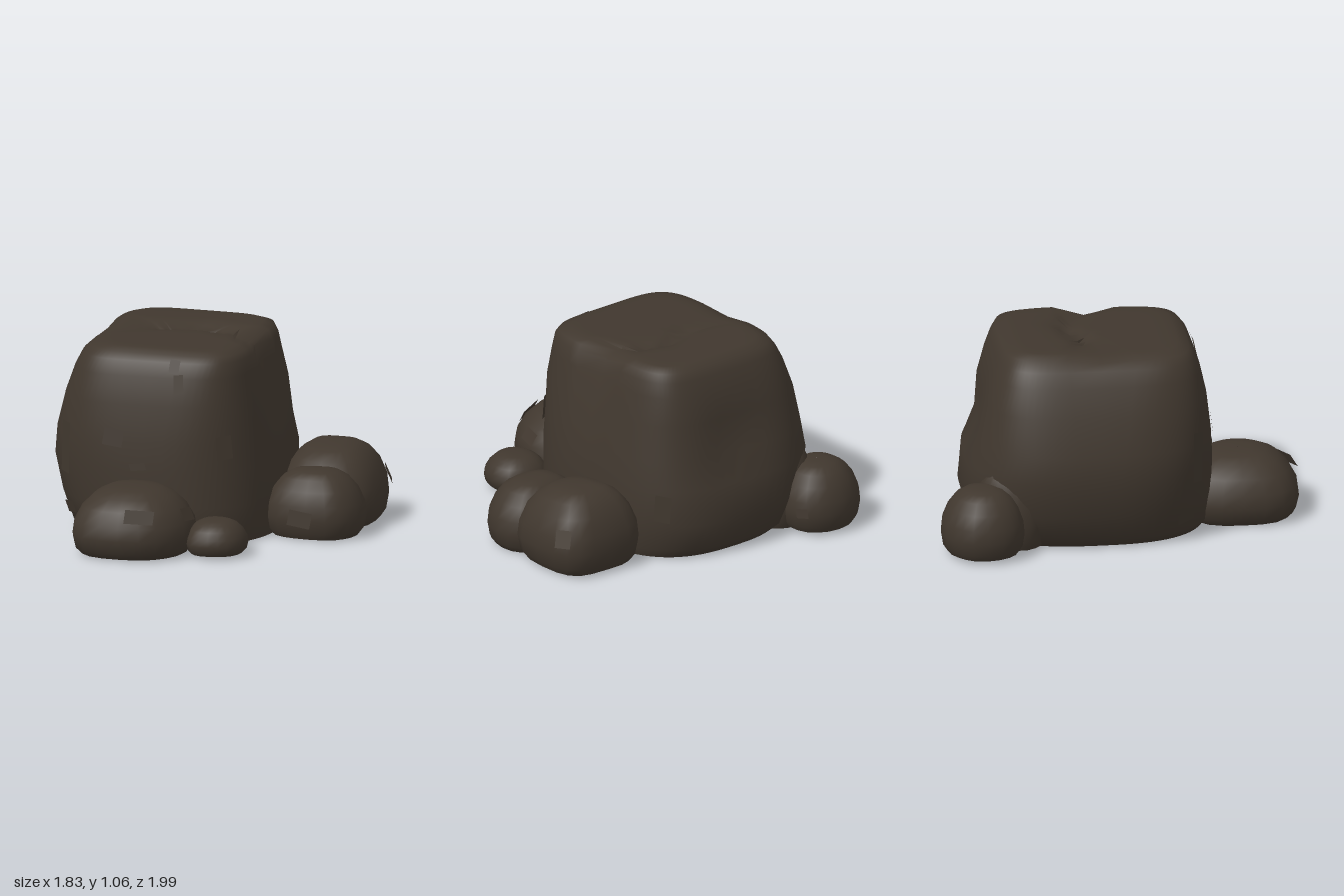
import * as THREE from 'three';
import { toCreasedNormals } from 'three/addons/utils/BufferGeometryUtils.js';

const stone = new THREE.MeshStandardMaterial({ color: 0x40372e });
stone.name = 'dark brown stone';
const stoneThin = new THREE.MeshStandardMaterial({ color: 0x40372e, side: THREE.DoubleSide });
stoneThin.name = 'dark brown stone flake';

const spow = (v, n) => Math.sign(v) * Math.pow(Math.abs(v), 2 / n);

// Loft of superellipse rings: [y, xMin, xMax, zMin, zMax, squareness], bottom to top
function loft(name, rings, segs, shape) {
  const pos = [], index = [];
  const p = new THREE.Vector3();
  rings.forEach(([y, x0, x1, z0, z1, n]) => {
    for (let j = 0; j < segs; j++) {
      const t = (j / segs) * Math.PI * 2;
      p.set((x0 + x1) / 2 + (x1 - x0) / 2 * spow(Math.cos(t), n), y,
        (z0 + z1) / 2 + (z1 - z0) / 2 * spow(Math.sin(t), n));
      if (shape) shape(p, t);
      pos.push(p.x, p.y, p.z);
    }
  });
  for (let i = 0; i < rings.length - 1; i++) {
    for (let j = 0; j < segs; j++) {
      const a = i * segs + j, b = i * segs + (j + 1) % segs;
      index.push(a, a + segs, b, b, a + segs, b + segs);
    }
  }
  const g = new THREE.BufferGeometry();
  g.setAttribute('position', new THREE.Float32BufferAttribute(pos, 3));
  g.setIndex(index);
  const mesh = new THREE.Mesh(toCreasedNormals(g, 0.95), stone);
  mesh.name = name;
  return mesh;
}

// Main boulder: tapering block with a crack across the top and down one side
function mainBoulder() {
  const rings = [
    [0, -0.121, -0.119, -0.141, -0.139, 2],
    [0, -0.66, 0.41, -0.75, 0.47, 2.7],
    [0.05, -0.71, 0.42, -0.80, 0.50, 2.7],
    [0.2, -0.77, 0.425, -0.84, 0.505, 2.7],
    [0.4, -0.81, 0.42, -0.83, 0.505, 2.8],
    [0.55, -0.79, 0.39, -0.78, 0.495, 3],
    [0.75, -0.73, 0.355, -0.74, 0.47, 3.5],
    [0.9, -0.67, 0.315, -0.69, 0.435, 4],
    [0.98, -0.625, 0.295, -0.655, 0.405, 4.5],
    [1.02, -0.58, 0.27, -0.625, 0.375, 5],
    [1.04, -0.52, 0.22, -0.57, 0.32, 5]
  ];
  for (const s of [0.88, 0.75, 0.62, 0.5, 0.38, 0.26, 0.14, 0.002]) {
    rings.push([1.043, -0.15 - 0.37 * s, -0.15 + 0.37 * s, -0.125 - 0.445 * s, -0.125 + 0.445 * s, 5]);
  }
  return loft('mainBoulder', rings, 72, p => {
    const high = THREE.MathUtils.smoothstep(p.y, 0.6, 1);
    const line = -0.19 - 0.06 * Math.exp(-(((p.x + 0.08) / 0.15) ** 2)) + 0.08 * THREE.MathUtils.smoothstep(p.x, 0.12, 0.25);
    const crack = Math.exp(-(((p.z - line) / 0.06) ** 2)) * high;
    if (p.y > 1) p.y += -0.035 * crack + (p.z < line ? 0.008 : -0.006) - 0.01 * p.x;
    if (p.x > 0.15) p.x -= 0.05 * crack;
    // Shallow hollow in the back face
    const hollow = Math.exp(-(((p.x + 0.1) / 0.22) ** 2) - (((p.y - 0.58) / 0.14) ** 2));
    if (p.z < -0.5) p.z += 0.05 * hollow;
  });
}

// Small rounded boulder, gently uneven
function boulder(name, x0, x1, z0, z1, base, top, n, seed, tilt = 0) {
  const cx = (x0 + x1) / 2, cz = (z0 + z1) / 2;
  const profile = [[0, 0.002], [0, 0.85], [0.1, 0.95], [0.3, 1], [0.5, 0.97],
    [0.72, 0.84], [0.88, 0.66], [0.97, 0.45], [1, 0.22], [1, 0.002]];
  const rings = profile.map(([h, s]) => [base + (top - base) * h,
    cx - (cx - x0) * s, cx + (x1 - cx) * s, cz - (cz - z0) * s, cz + (z1 - cz) * s, n]);
  return loft(name, rings, 20, (p, t) => {
    const k = 1 + 0.025 * Math.sin(3 * t + seed) + 0.015 * Math.sin(5 * t + seed * 2);
    p.x = cx + (p.x - cx) * k;
    p.z = cz + (p.z - cz) * k;
    p.y += tilt * (p.z - cz) * (p.y - base) / (top - base);
  });
}

export function createModel() {
  const group = new THREE.Group();
  group.name = 'rockCluster';
  const rocks = [
    mainBoulder(),
    boulder('frontBoulder', -0.52, 0.13, 0.32, 0.99, 0.005, 0.36, 2.3, 1),
    boulder('frontPebble', 0.09, 0.42, 0.46, 0.8, 0.015, 0.195, 2.2, 2),
    boulder('leftBoulder', 0.34, 0.905, -0.65, -0.02, 0.01, 0.43, 2.8, 3, -0.1),
    boulder('leftFrontBoulder', 0.36, 0.9, -0.2, 0.215, 0.005, 0.36, 2.5, 4),
    boulder('backBoulder', -0.91, -0.45, -1, -0.55, 0.02, 0.37, 2.3, 5),
    boulder('backNeck', -0.74, -0.35, -0.8, -0.4, 0.01, 0.5, 2.2, 6)
  ];
  group.add(...rocks);

  // Thin stone flakes lying on the surface: [axis, u, y, width, height]
  const flakes = [
    ['z', -0.65, 0.48, 0.07, 0.27], ['z', -0.64, 0.14, 0.13, 0.08],
    ['z', -0.36, 0.57, 0.1, 0.08], ['z', -0.22, 0.42, 0.1, 0.05],
    ['z', -0.09, 0.24, 0.14, 0.06], ['z', 0.23, 0.53, 0.1, 0.14],
    ['z', -0.04, 0.96, 0.05, 0.07], ['z', -0.01, 0.87, 0.06, 0.11],
    ['z', 0.6, 0.12, 0.12, 0.07], ['x', -0.53, 0.23, 0.11, 0.11],
    ['x', -0.67, 0.3, 0.08, 0.14], ['x', -0.9, 0.14, 0.08, 0.06],
    ['x', 0.69, 0.22, 0.1, 0.06]
  ];
  const ray = new THREE.Raycaster();
  flakes.forEach(([axis, u, y, w, h], i) => {
    const from = axis === 'z' ? new THREE.Vector3(u, y, 3) : new THREE.Vector3(3, y, u);
    const dir = axis === 'z' ? new THREE.Vector3(0, 0, -1) : new THREE.Vector3(-1, 0, 0);
    ray.set(from, dir);
    const hit = ray.intersectObjects(rocks)[0];
    if (!hit) return;
    const skew = 0.12 * w * (i % 2 ? 1 : -1);
    const shape = new THREE.Shape([
      new THREE.Vector2(-w / 2 + skew, -h / 2), new THREE.Vector2(w / 2, -h / 2 + skew),
      new THREE.Vector2(w / 2 - skew, h / 2), new THREE.Vector2(-w / 2, h / 2 - skew)]);
    const flake = new THREE.Mesh(new THREE.ShapeGeometry(shape), stoneThin);
    flake.name = 'stoneFlake';
    flake.position.copy(hit.point).addScaledVector(hit.face.normal, 0.008);
    flake.lookAt(flake.position.clone().add(hit.face.normal));
    group.add(flake);
  });
  return group;
}
